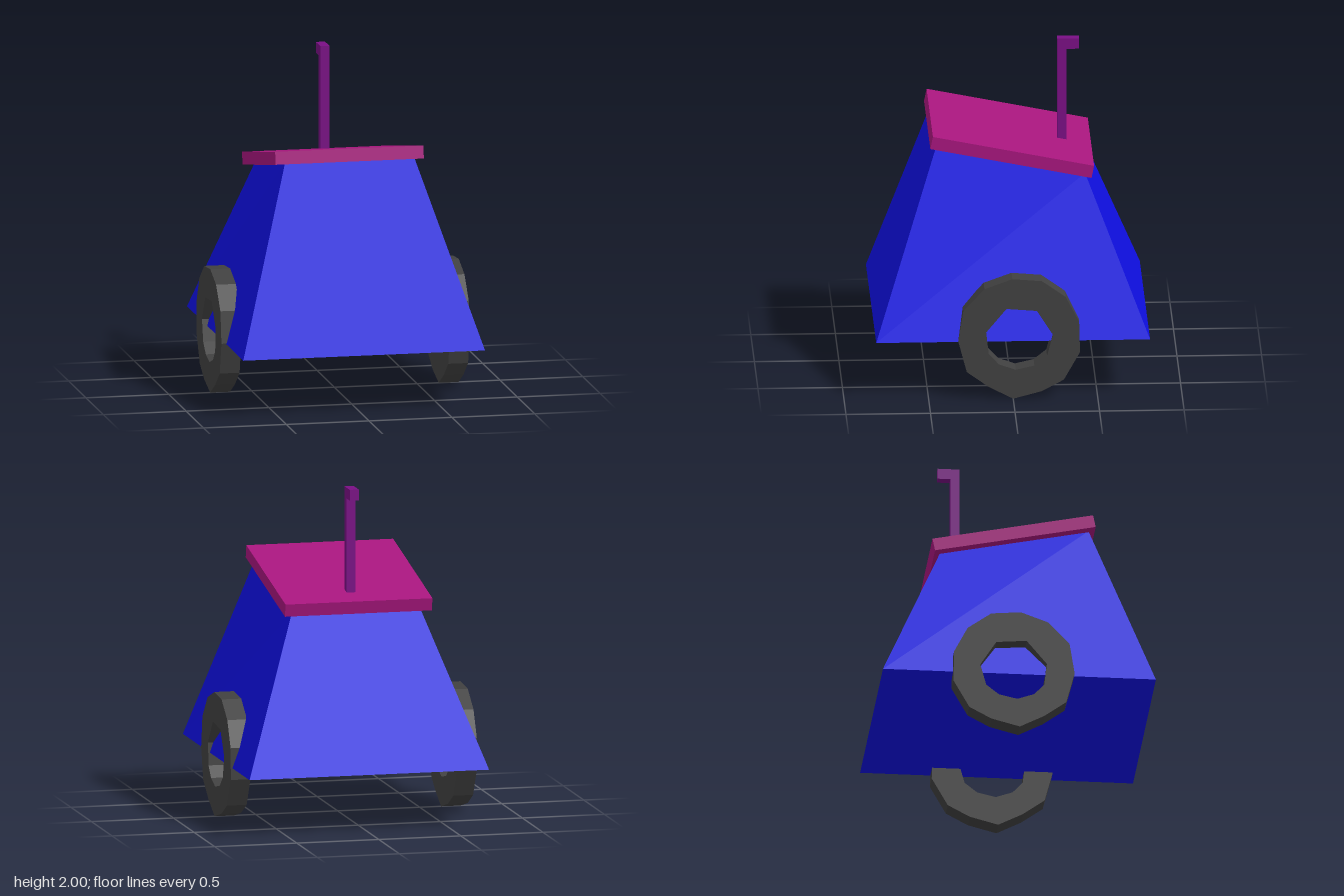
import * as THREE from 'three';

function addMesh(group, name, geometry, color) {
  const material = new THREE.MeshStandardMaterial({ color, flatShading: true });
  const mesh = new THREE.Mesh(geometry, material);
  mesh.name = name;
  group.add(mesh);
  return mesh;
}

const toPoints = (pairs) => pairs.map(([x, y]) => new THREE.Vector2(x, y));

// Tapered body: a box whose top is narrowed and slopes down to the back
function bodyGeometry() {
  const geometry = new THREE.BoxGeometry(2, 2, 2);
  const p = geometry.attributes.position;
  for (let i = 0; i < p.count; i++) {
    const sx = p.getX(i), sz = p.getZ(i);
    if (p.getY(i) < 0) p.setXYZ(i, 0.01 + sx * 0.73, 0.355, sz * 0.81);
    else p.setXYZ(i, sx * 0.39, 1.37 + sz * 0.09, sz * 0.44);
  }
  geometry.computeVertexNormals();
  return geometry;
}

// Rough, hand-cut ring; profile x runs towards the back, y is up
function wheelGeometry() {
  const shape = new THREE.Shape(toPoints([
    [0, 0], [0.095, 0.025], [0.17, 0.045], [0.3, 0.115], [0.395, 0.285],
    [0.39, 0.475], [0.31, 0.63], [0.17, 0.73], [-0.005, 0.745], [-0.17, 0.685],
    [-0.295, 0.55], [-0.325, 0.36], [-0.275, 0.17], [-0.145, 0.075],
  ]));
  shape.holes.push(new THREE.Path(toPoints([
    [-0.04, 0.56], [0.14, 0.545], [0.235, 0.395], [0.2, 0.265], [0.125, 0.205],
    [0.015, 0.18], [-0.085, 0.215], [-0.145, 0.28], [-0.16, 0.415],
  ])));
  return new THREE.ExtrudeGeometry(shape, { depth: 0.12, bevelEnabled: false })
    .rotateY(Math.PI / 2);
}

export function createModel() {
  const model = new THREE.Group();
  model.name = 'wheeledBin';

  addMesh(model, 'body', bodyGeometry(), 0x0f0fe6);

  // Sloping lid
  const lid = addMesh(model, 'lid', new THREE.BoxGeometry(0.895, 0.077, 0.973), 0xa8167e);
  lid.position.set(-0.007, 1.4, -0.007);
  lid.rotation.x = -0.2;

  // Upright handle with a short hook at its tip
  const handle = new THREE.Group();
  handle.name = 'handle';
  const post = addMesh(handle, 'handlePost', new THREE.BoxGeometry(0.055, 0.66, 0.055), 0x7a0f85);
  post.position.set(0.004, 1.67, -0.318);
  const hook = addMesh(handle, 'handleHook', new THREE.BoxGeometry(0.055, 0.065, 0.075), 0x7a0f85);
  hook.position.set(0.004, 1.9675, -0.383);
  model.add(handle);

  // Two wheels, one on each side
  const wheel = wheelGeometry();
  addMesh(model, 'leftWheel', wheel, 0x404040).position.x = 0.63;
  addMesh(model, 'rightWheel', wheel, 0x404040).position.x = -0.75;

  return model;
}
